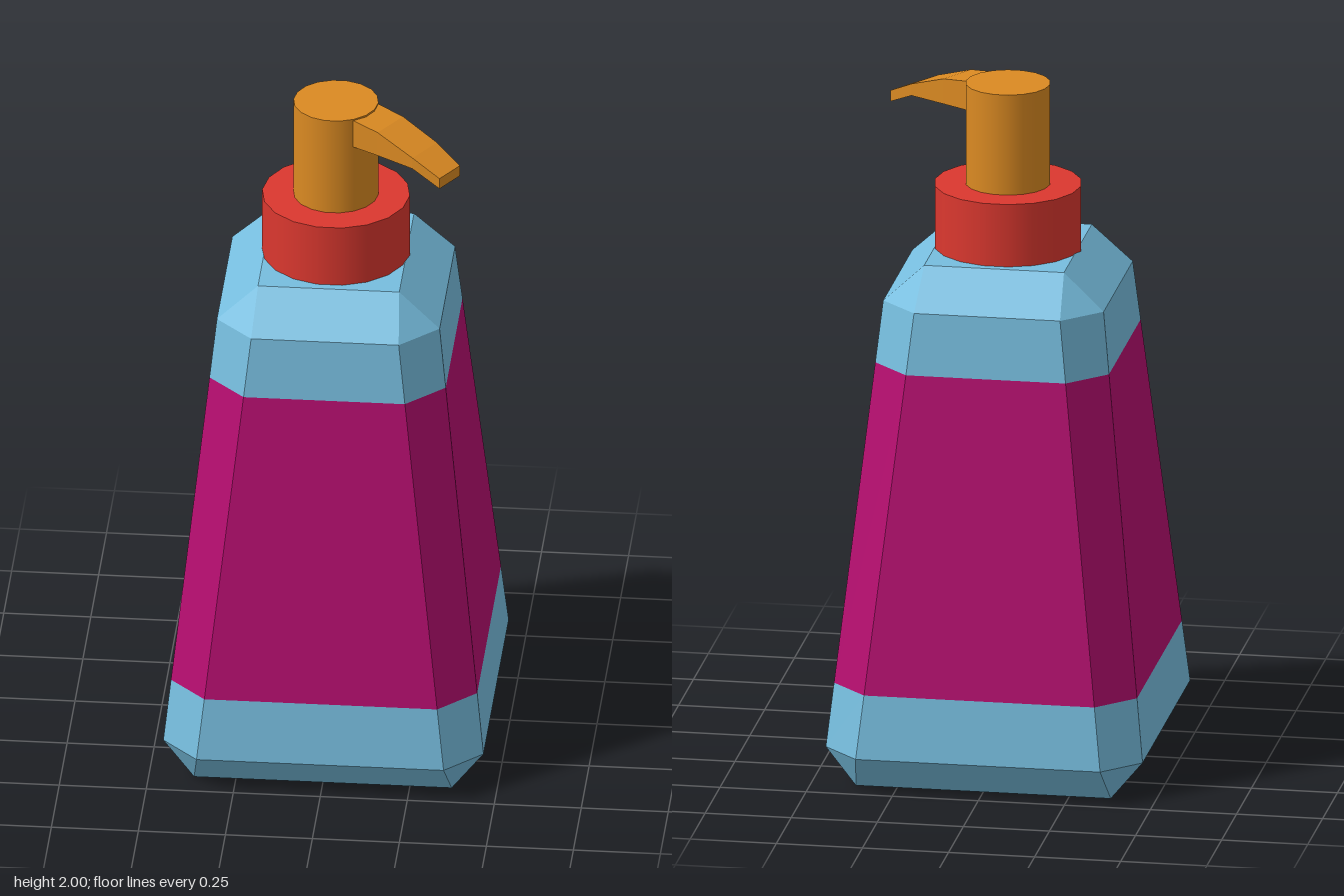
import * as THREE from 'three';

// Flat-shaded skin through rings of equal point count, with optional end caps
function loft(rings, capStart, capEnd) {
  const pos = [];
  const tri = (a, b, c) => {
    const area = b.clone().sub(a).cross(c.clone().sub(a)).length();
    if (area > 1e-7) for (const p of [a, b, c]) pos.push(p.x, p.y, p.z);
  };
  const n = rings[0].length;
  for (let r = 0; r < rings.length - 1; r++) {
    const lo = rings[r], hi = rings[r + 1];
    for (let i = 0; i < n; i++) {
      const j = (i + 1) % n;
      tri(lo[i], hi[i], lo[j]);
      tri(lo[j], hi[i], hi[j]);
    }
  }
  const first = rings[0], last = rings[rings.length - 1];
  for (let i = 1; i < n - 1; i++) {
    if (capStart) tri(first[0], first[i], first[i + 1]);
    if (capEnd) tri(last[0], last[i + 1], last[i]);
  }
  const geo = new THREE.BufferGeometry();
  geo.setAttribute('position', new THREE.Float32BufferAttribute(pos, 3));
  geo.computeVertexNormals();
  return geo;
}

// Rectangle with cut corners: half sizes x, z and the half lengths fx, fz of its flats
function bodyRing([y, x, z, fx, fz]) {
  return [[x, -fz], [x, fz], [fx, z], [-fx, z], [-x, fz], [-x, -fz], [-fx, -z], [fx, -z]]
    .map(([px, pz]) => new THREE.Vector3(px, y, pz));
}

export function createModel() {
  const group = new THREE.Group();
  const material = (name, color) => {
    const m = new THREE.MeshStandardMaterial({ color });
    m.name = name;
    return m;
  };
  const blue = material('light blue', 0x77bedf);
  const magenta = material('magenta', 0xb60e70);
  const red = material('red', 0xdc382f);
  const orange = material('orange', 0xdb8a22);

  const add = (name, geo, mat, y = 0) => {
    const mesh = new THREE.Mesh(geo, mat);
    mesh.name = name;
    mesh.position.y = y;
    group.add(mesh);
  };

  // Bottle sections; the wall tapers evenly from hip to shoulder
  const foot = [0, 0.37, 0.415, 0.37, 0.415];
  const hip = [0.107, 0.46, 0.507, 0.355, 0.4];
  const shoulder = [1.405, 0.32, 0.353, 0.212, 0.245];
  const top = [1.513, 0.203, 0.234, 0.203, 0.234];
  const wallAt = (y) => {
    const t = (y - hip[0]) / (shoulder[0] - hip[0]);
    return hip.map((v, i) => v + (shoulder[i] - v) * t);
  };
  const labelLow = wallAt(0.293), labelHigh = wallAt(1.225);
  add('bottleBase', loft([foot, hip, labelLow].map(bodyRing), true, false), blue);
  add('labelBand', loft([labelLow, labelHigh].map(bodyRing), false, false), magenta);
  add('bottleShoulder', loft([labelHigh, shoulder, top].map(bodyRing), false, true), blue);

  // Collar and pump head
  const cylinder = (r, h) => new THREE.CylinderGeometry(r, r, h, 18, 1, false, Math.PI / 2);
  add('collar', cylinder(0.212, 0.2), red, 1.6);
  add('pumpHead', cylinder(0.122, 0.31), orange, 1.845);

  // Spout: centre x, centre z, half width, bottom y, top y
  const angle = 0.56;
  const side = new THREE.Vector3(-Math.sin(angle), 0, Math.cos(angle));
  const spoutRings = [
    [0.08, 0.048, 0.061, 1.91, 1.998],
    [0.165, 0.1, 0.06, 1.91, 1.985],
    [0.27, 0.167, 0.058, 1.908, 1.943],
    [0.346, 0.216, 0.048, 1.869, 1.902],
  ].map(([x, z, w, lo, hi]) => [[w, lo], [w, hi], [-w, hi], [-w, lo]]
    .map(([s, y]) => new THREE.Vector3(x, y, z).addScaledVector(side, s)));
  add('spout', loft(spoutRings, true, true), orange);

  return group;
}
